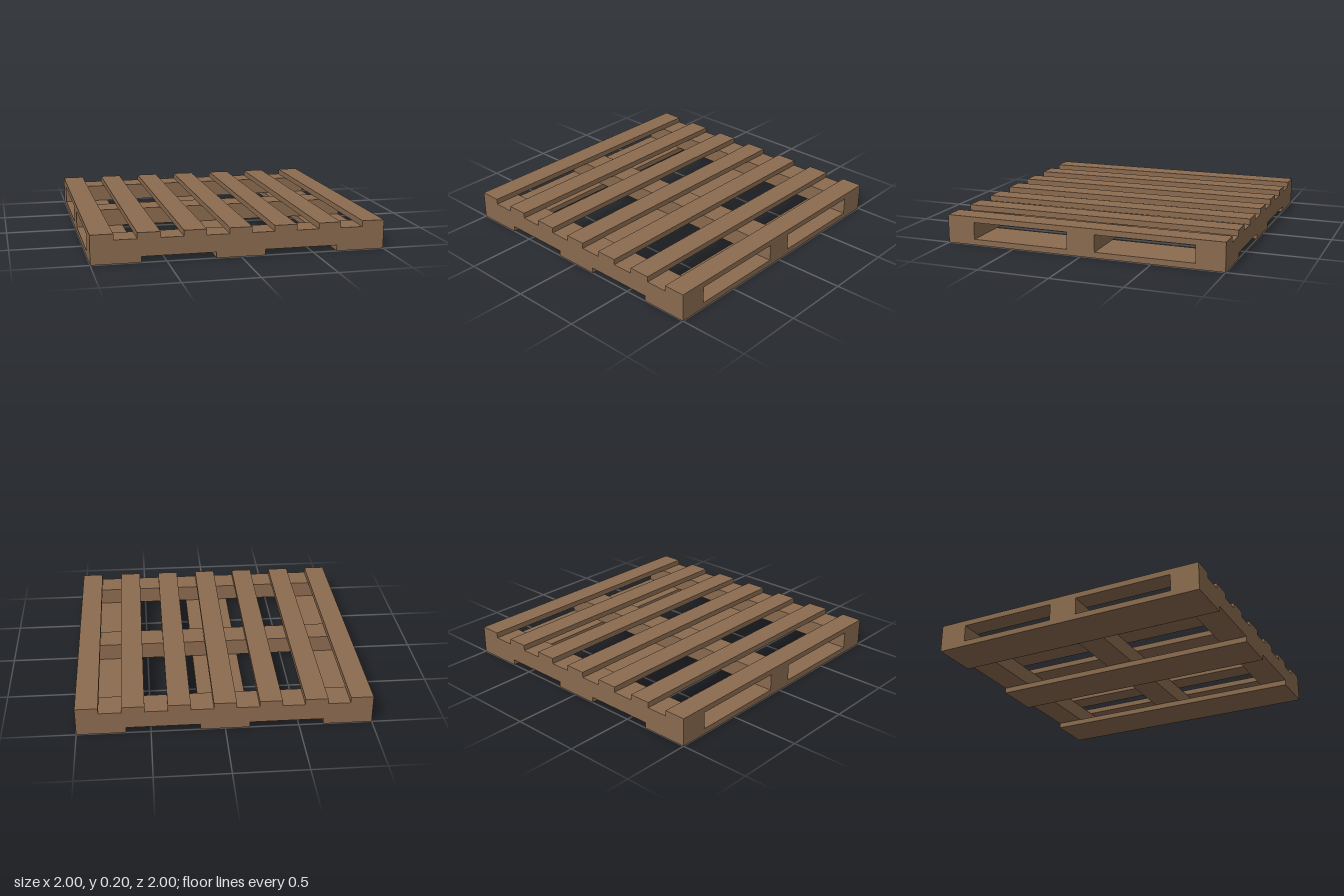
import * as THREE from 'three';

const SIZE = 2, HEIGHT = 0.2, BOARD = 0.04;

export function createModel() {
  const pallet = new THREE.Group();
  pallet.name = 'pallet';
  const wood = new THREE.MeshStandardMaterial({ color: 0x8b6b4f, flatShading: true });

  // Box standing on the given base height
  const addBoard = (name, width, height, depth, x, base, z) => {
    const mesh = new THREE.Mesh(new THREE.BoxGeometry(width, height, depth), wood);
    mesh.name = name;
    mesh.position.set(x, base + height / 2, z);
    pallet.add(mesh);
  };

  // Seven deck slats, with gaps as wide as the slats
  const slat = SIZE / 13;
  for (let i = -3; i <= 3; i++) {
    addBoard('deckSlat', slat, BOARD, SIZE, i * 2 * slat, HEIGHT - BOARD, 0);
  }

  // Three cross beams between deck and base
  ['backBeam', 'middleBeam', 'frontBeam'].forEach((name, i) => {
    addBoard(name, SIZE, HEIGHT - 2 * BOARD, 0.2, 0, BOARD, (i - 1) * 0.9);
  });

  // Three wide base boards
  const base = SIZE / 6;
  ['rightBaseBoard', 'middleBaseBoard', 'leftBaseBoard'].forEach((name, i) => {
    addBoard(name, base, BOARD, SIZE, (i - 1) * (SIZE - base) / 2, 0, 0);
  });

  return pallet;
}
